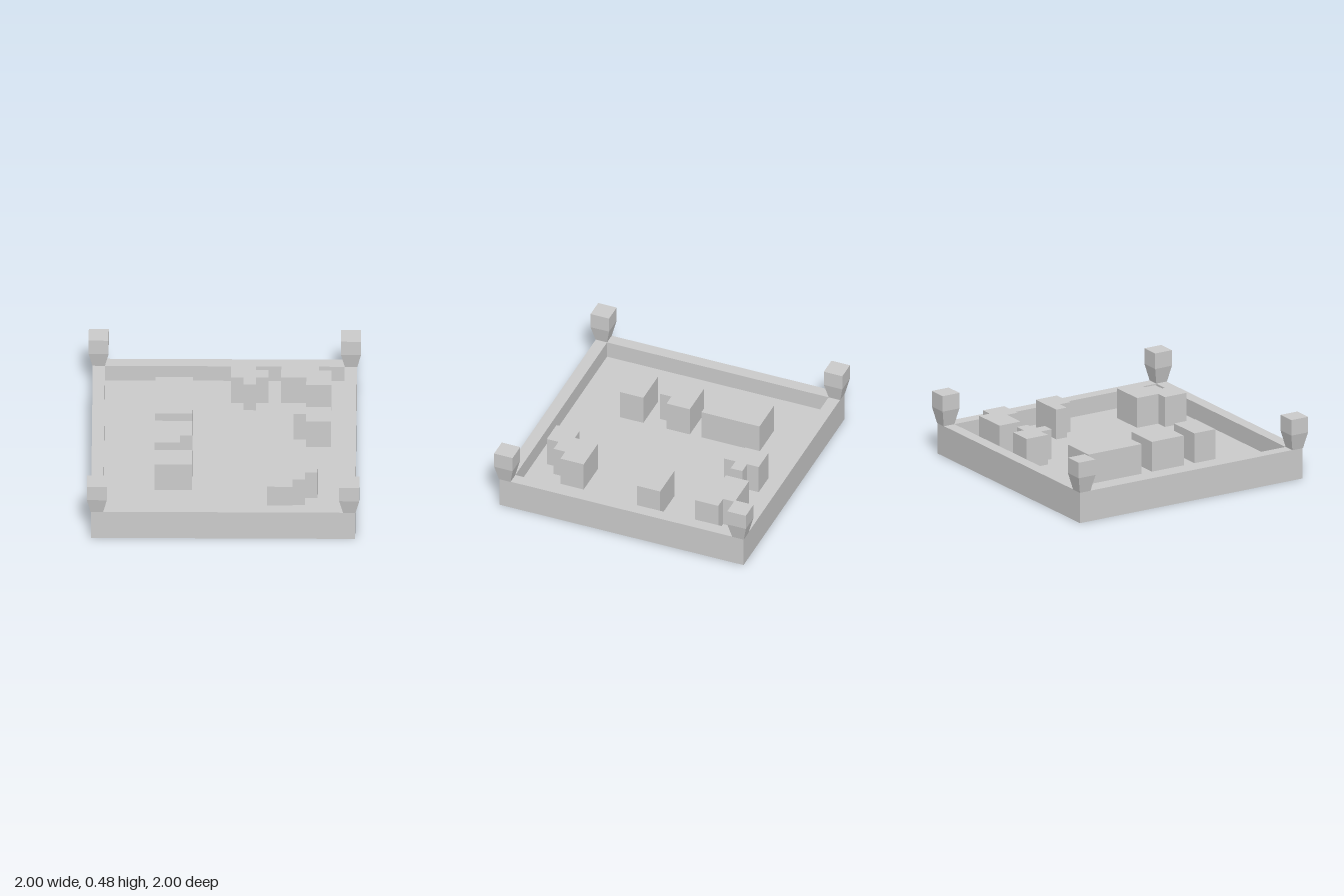
import * as THREE from 'three';

const FLOOR = 0.105, RIM = 0.235, BLOCK_TOP = 0.335;
const CELL = 0.0923; // plan grid step of the raised blocks

const material = new THREE.MeshStandardMaterial({ color: 0xcccccc, flatShading: true });

// Square solid from a profile of [half width, height] points, listed from the bottom centre to the top centre
function squareTurned(profile) {
  const points = profile.map(([half, y]) => new THREE.Vector2(half * Math.SQRT2, y));
  return new THREE.LatheGeometry(points, 4, Math.PI / 4);
}

// Upright block from a plan outline of [x, z] grid corners
function planBlock(outline) {
  const shape = new THREE.Shape(outline.map(([x, z]) => new THREE.Vector2(x * CELL, -z * CELL)));
  const geometry = new THREE.ExtrudeGeometry(shape, { depth: BLOCK_TOP - FLOOR, bevelEnabled: false });
  return geometry.rotateX(-Math.PI / 2).translate(0, FLOOR, 0);
}

function addMesh(parent, name, geometry) {
  const mesh = new THREE.Mesh(geometry, material);
  mesh.name = name;
  parent.add(mesh);
  return mesh;
}

export function createModel() {
  const model = new THREE.Group();
  model.name = 'walledTray';

  // Square tray: solid base, raised rim and sunken floor
  addMesh(model, 'tray', squareTurned([
    [0, 0], [0.97, 0], [0.97, RIM], [0.88, RIM], [0.88, FLOOR], [0, FLOOR],
  ]));

  // Corner posts: narrow foot flaring into a square head
  const posts = new THREE.Group();
  posts.name = 'cornerPosts';
  model.add(posts);
  const postGeometry = squareTurned([
    [0, RIM], [0.046, RIM], [0.0735, 0.36], [0.0735, 0.48], [0, 0.48],
  ]);
  for (const x of [-1, 1]) {
    for (const z of [-1, 1]) {
      const name = (z > 0 ? 'front' : 'back') + (x > 0 ? 'Left' : 'Right') + 'Post';
      addMesh(posts, name, postGeometry).position.set(x * 0.9265, 0, z * 0.9265);
    }
  }

  // Raised blocks on the tray floor
  const blocks = new THREE.Group();
  blocks.name = 'floorBlocks';
  model.add(blocks);
  const outlines = {
    longBlock: [[-5.5, -6.5], [-2.5, -6.5], [-2.5, -1.5], [-5.5, -1.5]],
    notchedBlock: [[-5.5, -0.5], [-2.5, -0.5], [-2.5, 1.5], [-3.5, 1.5], [-3.5, 2.5], [-5.5, 2.5]],
    shortBlock: [[-5.5, 3.5], [-2.5, 3.5], [-2.5, 5.5], [-5.5, 5.5]],
    crossBlock: [[0.5, -8.5], [2.5, -8.5], [2.5, -7.5], [3.5, -7.5], [3.5, -6.5],
      [2.5, -6.5], [2.5, -5.5], [1.5, -5.5], [1.5, -6.5], [0.5, -6.5]],
    backCornerBlock: [[4.5, -8.5], [7.5, -8.5], [7.5, -7.5], [8.5, -7.5], [8.5, -5.5],
      [6.5, -5.5], [6.5, -6.5], [4.5, -6.5]],
    sideBlock: [[5.5, -2.5], [8.5, -2.5], [8.5, -0.5], [6.5, -0.5], [6.5, -1.5], [5.5, -1.5]],
    steppedBlock: [[4.5, 4.5], [7.5, 4.5], [7.5, 6.5], [6.5, 6.5], [6.5, 7.5],
      [5.5, 7.5], [5.5, 8.5], [3.5, 8.5], [3.5, 6.5], [4.5, 6.5]],
  };
  for (const [name, outline] of Object.entries(outlines)) addMesh(blocks, name, planBlock(outline));

  return model;
}
